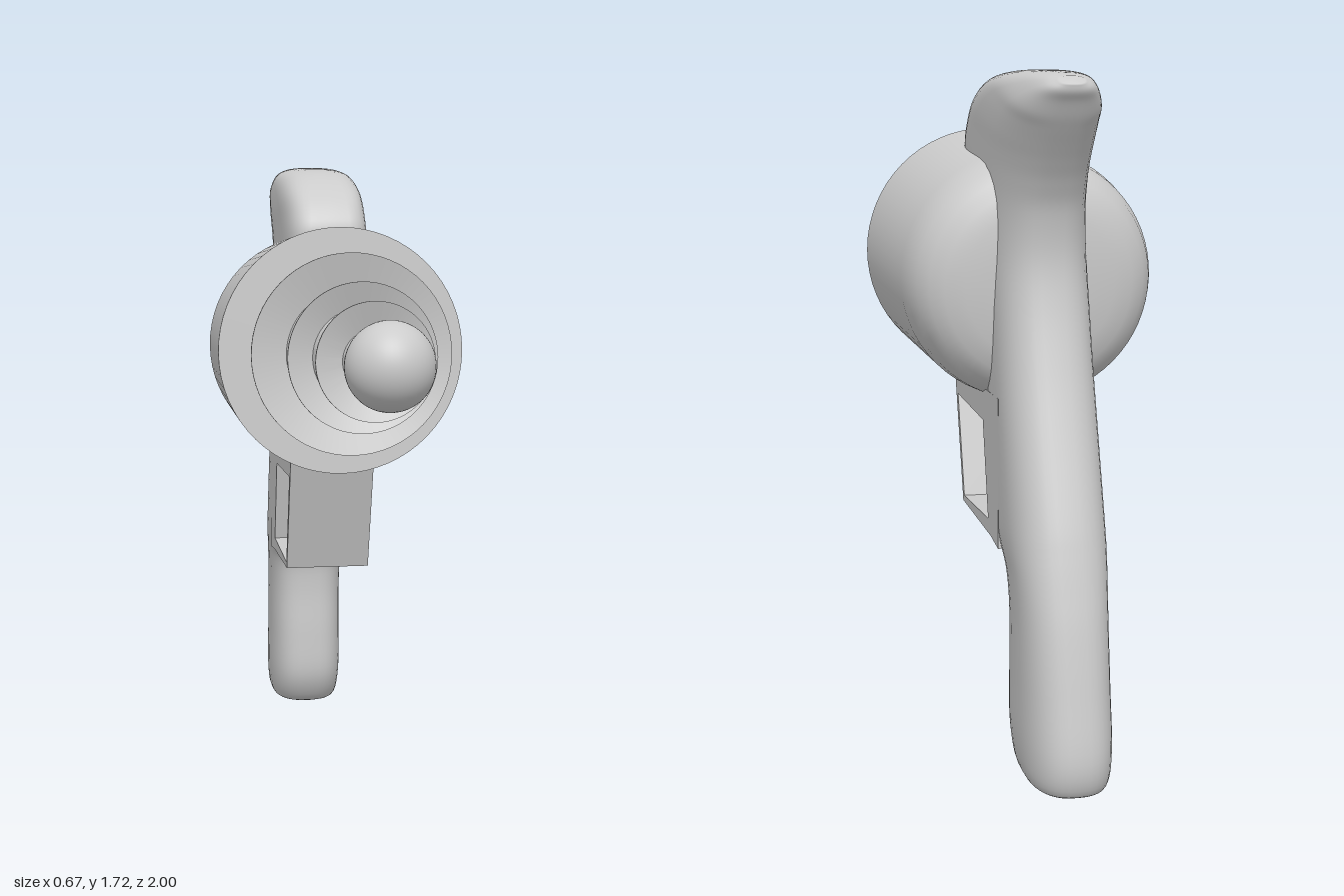
import * as THREE from 'three';
import { toCreasedNormals } from 'three/addons/utils/BufferGeometryUtils.js';

const material = new THREE.MeshStandardMaterial({ color: 0xcccccc });

function part(name, geometry, parent) {
  const mesh = new THREE.Mesh(geometry, material);
  mesh.name = name;
  parent.add(mesh);
  return mesh;
}

// Turned part along +z; profile is [radius, z] pairs from back to front
function turned(profile) {
  const pts = profile.map(([r, s]) => new THREE.Vector2(r, s));
  const geo = new THREE.LatheGeometry(pts, 64).rotateX(Math.PI / 2);
  return toCreasedNormals(geo, 0.6);
}

// Rounded handle lofted through sections: [frontZ, frontY, backZ, backY, halfWidth, squareness]
function loft(sections, rows = 100, sides = 40) {
  const V = THREE.Vector3;
  const front = new THREE.CatmullRomCurve3(sections.map(s => new V(s[4], s[1], s[0])), false, 'catmullrom');
  const back = new THREE.CatmullRomCurve3(sections.map(s => new V(s[5], s[3], s[2])), false, 'catmullrom');
  const pos = [], index = [];
  const power = (v, n) => Math.sign(v) * Math.pow(Math.abs(v), 2 / n);
  for (let i = 0; i <= rows; i++) {
    const f = front.getPoint(i / rows), b = back.getPoint(i / rows);
    for (let j = 0; j < sides; j++) {
      const a = (j / sides) * Math.PI * 2;
      const t = 0.5 + 0.5 * power(Math.sin(a), Math.sin(a) < 0 ? b.x : 2.6);
      pos.push(f.x * power(Math.cos(a), Math.sin(a) < 0 ? b.x : 2.6), f.y + (b.y - f.y) * t, f.z + (b.z - f.z) * t);
      if (i < rows) {
        const k = (j + 1) % sides, p = i * sides, q = p + sides;
        index.push(p + j, p + k, q + k, p + j, q + k, q + j);
      }
    }
  }
  // End caps
  for (const [row, flip] of [[0, true], [rows, false]]) {
    const f = front.getPoint(row / rows), b = back.getPoint(row / rows);
    const c = pos.length / 3, p = row * sides;
    pos.push(0, (f.y + b.y) / 2, (f.z + b.z) / 2);
    for (let j = 0; j < sides; j++) {
      const k = (j + 1) % sides;
      index.push(c, p + (flip ? k : j), p + (flip ? j : k));
    }
  }
  const geo = new THREE.BufferGeometry();
  geo.setAttribute('position', new THREE.Float32BufferAttribute(pos, 3));
  geo.setIndex(index);
  geo.computeVertexNormals();
  return geo;
}

export function createModel() {
  const model = new THREE.Group();
  model.name = 'rayGun';

  // Barrel assembly, tilted slightly upward
  const barrel = new THREE.Group();
  barrel.name = 'barrelAssembly';
  barrel.position.y = 1.223;
  barrel.rotation.x = -0.053;
  model.add(barrel);

  part('body', turned([
    [0, -0.585], [0.12, -0.583], [0.19, -0.576], [0.24, -0.562], [0.275, -0.54], [0.3, -0.505],
    [0.315, -0.46], [0.323, -0.4], [0.336, 0.1], [0, 0.1],
  ]), barrel);
  part('barrelCone', turned([[0.215, 0.09], [0.04, 0.82]]), barrel);
  part('muzzleBall', new THREE.SphereGeometry(0.107, 48, 32), barrel).position.z = 0.894;

  // Dished cooling rings: front z, rim radius, back radius
  for (const [s, rim, rear] of [[0.3, 0.266, 0.2], [0.487, 0.192, 0.135], [0.686, 0.147, 0.1]]) {
    const core = 0.215 - (s - 0.13) * 0.24 - 0.02;
    part('coolingRing', turned([
      [core, s - 0.055], [rear, s - 0.055], [rim, s - 0.004], [rim, s + 0.004], [core, s - 0.03],
    ]), barrel);
  }

  // Grip sweeping up behind the body into the top fin
  part('gripAndFin', loft([
    [-0.69, 0.012, -0.95, 0.004, 0.07, 2.6],
    [-0.645, 0.035, -0.985, 0.022, 0.1, 2.8],
    [-0.605, 0.12, -1.0, 0.1, 0.11, 3],
    [-0.603, 0.25, -0.975, 0.25, 0.11, 3],
    [-0.61, 0.4, -0.945, 0.4, 0.11, 3],
    [-0.6, 0.5, -0.92, 0.5, 0.113, 3.4],
    [-0.55, 0.56, -0.898, 0.58, 0.118, 4],
    [-0.5, 0.64, -0.873, 0.66, 0.12, 5],
    [-0.45, 0.84, -0.805, 0.85, 0.12, 5],
    [-0.4, 1.0, -0.755, 1.0, 0.12, 4],
    [-0.35, 1.15, -0.715, 1.15, 0.12, 4],
    [-0.25, 1.3, -0.7, 1.27, 0.12, 4],
    [-0.14, 1.42, -0.715, 1.38, 0.12, 5],
    [-0.105, 1.53, -0.745, 1.45, 0.12, 5],
    [-0.13, 1.6, -0.775, 1.5, 0.12, 4.5],
    [-0.2, 1.66, -0.802, 1.54, 0.12, 4],
    [-0.33, 1.705, -0.83, 1.58, 0.116, 3.3],
    [-0.5, 1.72, -0.85, 1.61, 0.108, 3],
    [-0.68, 1.72, -0.87, 1.645, 0.085, 2.8],
    [-0.8, 1.714, -0.886, 1.668, 0.06, 2.6],
    [-0.86, 1.706, -0.89, 1.687, 0.03, 2.4],
  ]), model);

  // Trigger guard: full-width frame with a slanted opening, drawn in (z, y)
  const points = list => list.map(([z, y]) => new THREE.Vector2(z, y));
  const frame = new THREE.Shape(points([
    [-0.07, 0.92], [-0.185, 0.565], [-0.54, 0.552], [-0.63, 0.54], [-0.63, 0.92],
  ]));
  frame.holes.push(new THREE.Path(points([
    [-0.115, 0.848], [-0.445, 0.835], [-0.51, 0.59], [-0.2, 0.581],
  ])));
  const guard = new THREE.ExtrudeGeometry(frame, { depth: 0.24, bevelEnabled: false });
  part('triggerGuard', guard.translate(0, 0, -0.12).rotateY(-Math.PI / 2), model);

  // Curved trigger
  const bend = new THREE.CatmullRomCurve3([[0.86, -0.395], [0.8, -0.385], [0.74, -0.353], [0.672, -0.293]]
    .map(([y, z]) => new THREE.Vector3(0, y, z)));
  part('trigger', new THREE.TubeGeometry(bend, 20, 0.008, 10).scale(2.5, 1, 1), model);

  return model;
}
